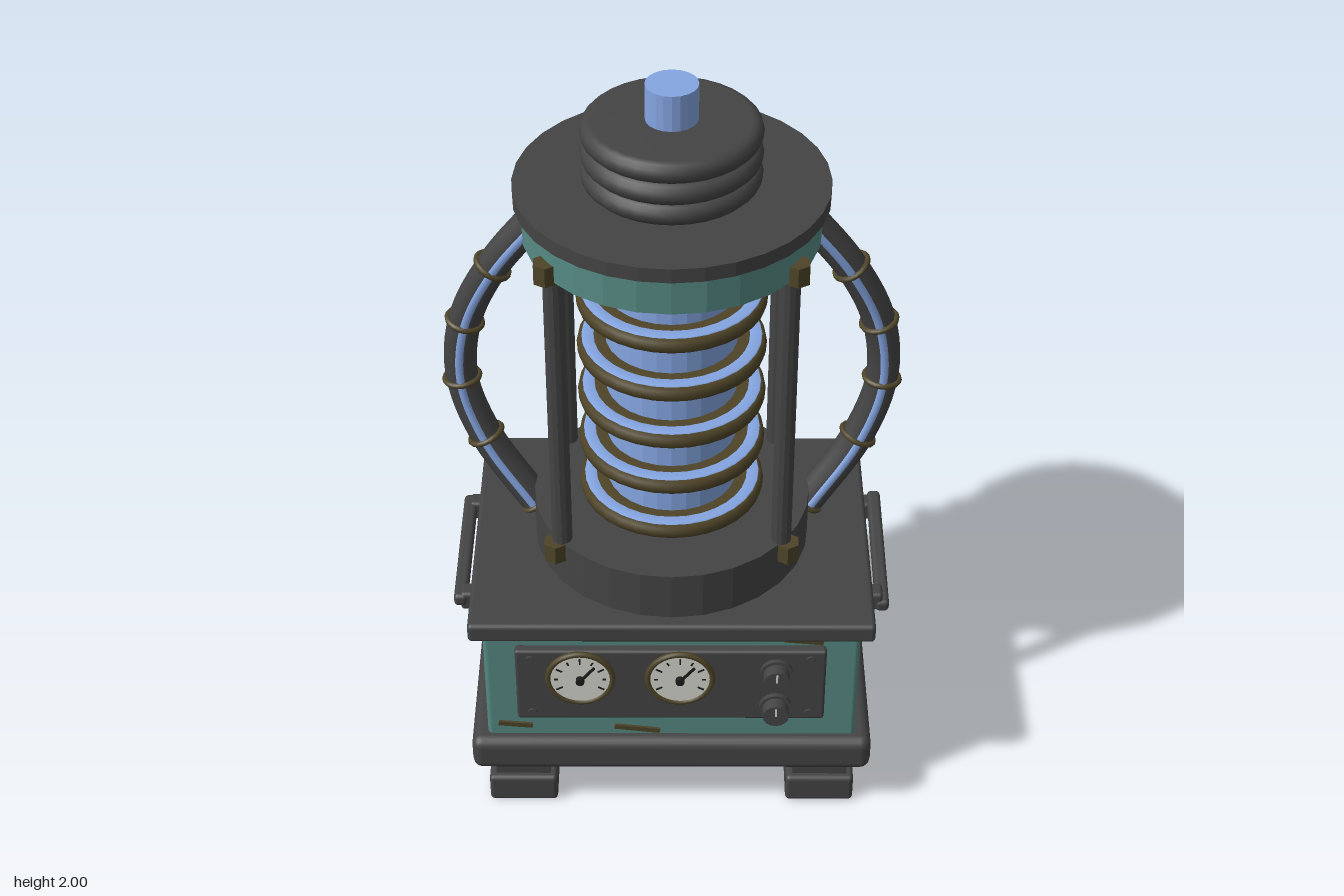
import * as THREE from 'three';
import { RoundedBoxGeometry } from 'three/addons/geometries/RoundedBoxGeometry.js';

const mat = (name, color) => {
  const m = new THREE.MeshStandardMaterial({ color });
  m.name = name;
  return m;
};

export function createModel() {
  const model = new THREE.Group();
  model.name = 'energyTower';
  const dark = mat('dark iron', 0x444444);
  const teal = mat('teal paint', 0x568a84);
  const blue = mat('blue glow', 0x85a6e2);
  const brass = mat('aged brass', 0x4e4428);
  const ivory = mat('dial ivory', 0xd6d6ce);
  const ink = mat('dial ink', 0x1c1c1c);
  const CZ = -0.018; // tower axis

  const add = (name, geo, material, x = 0, y = 0, z = 0, parent = model) => {
    const m = new THREE.Mesh(geo, material);
    m.name = name;
    m.position.set(x, y, z);
    parent.add(m);
    return m;
  };
  const box = (name, material, w, h, d, x, y, z, r = 0) =>
    add(name, r ? new RoundedBoxGeometry(w, h, d, 2, r) : new THREE.BoxGeometry(w, h, d), material, x, y, z);
  const faceted = (geo) => {
    const g = geo.toNonIndexed();
    g.computeVertexNormals();
    return g;
  };
  // upright cylinder between two heights
  const drum = (name, material, r, y0, y1, x = 0, z = CZ, sides = 28) =>
    add(name, faceted(new THREE.CylinderGeometry(r, r, y1 - y0, sides)), material, x, (y0 + y1) / 2, z);
  // disc whose axis points to the front
  const disc = (name, material, r, z0, z1, x, y, sides = 24) => {
    const g = new THREE.CylinderGeometry(r, r, z1 - z0, sides).rotateX(Math.PI / 2);
    return add(name, g, material, x, y, (z0 + z1) / 2);
  };
  const lathe = (pts, sides) => new THREE.LatheGeometry(pts.map(([x, y]) => new THREE.Vector2(x, y)), sides);

  // Feet, base and cabinet
  for (const x of [-0.398, 0.398]) for (const z of [0.272, -0.3]) {
    box('footPad', dark, 0.182, 0.085, 0.168, x, 0.0425, z, 0.012);
    box('footStem', dark, 0.145, 0.08, 0.13, x, 0.12, z);
  }
  box('basePlate', dark, 1.055, 0.105, 0.82, 0, 0.2, -0.02, 0.028);
  box('cabinet', teal, 0.97, 0.37, 0.735, 0, 0.425, -0.013, 0.014);
  box('cabinetLid', dark, 1.04, 0.055, 0.785, 0, 0.627, -0.013, 0.012);

  // Front control panel
  box('controlPanel', dark, 0.8, 0.238, 0.03, -0.002, 0.452, 0.367, 0.008);
  for (const x of [-0.362, 0.358]) for (const y of [0.36, 0.546]) disc('panelScrew', dark, 0.012, 0.375, 0.388, x, y, 8);
  for (const x of [-0.235, 0.022]) {
    const y = 0.485;
    disc('gaugeBody', brass, 0.085, 0.375, 0.388, x, y, 32);
    disc('gaugeDial', ivory, 0.08, 0.386, 0.392, x, y, 32);
    add('gaugeBezel', new THREE.TorusGeometry(0.083, 0.008, 8, 32), brass, x, y, 0.388);
    for (let i = 0; i < 9; i++) {
      const a = (-30 + i * 30) * Math.PI / 180;
      const t = box('gaugeTick', ink, i % 2 ? 0.01 : 0.018, 0.004, 0.003, x + Math.cos(a) * 0.062, y + Math.sin(a) * 0.062, 0.393);
      t.rotation.z = a;
    }
    const needle = box('gaugeNeedle', ink, 0.065, 0.007, 0.004, x + 0.017, y + 0.021, 0.4);
    needle.rotation.z = 0.9;
    disc('gaugePivot', ink, 0.011, 0.39, 0.406, x, y, 12);
  }
  for (const y of [0.505, 0.385]) {
    disc('knobFlange', dark, 0.042, 0.375, 0.394, 0.27, y, 20);
    disc('knob', dark, 0.034, 0.39, 0.426, 0.27, y, 16);
    box('knobMark', ivory, 0.005, 0.025, 0.004, 0.27, y + 0.014, 0.427);
  }
  // Worn patches on the cabinet edges
  for (const [x, y, w, a] of [[-0.41, 0.29, 0.09, -0.1], [-0.09, 0.275, 0.12, -0.13], [0.34, 0.588, 0.1, -0.1]])
    box('wornPatch', brass, w, 0.014, 0.008, x, y, 0.357).rotation.z = a;

  // Side vents and handles
  for (const s of [-1, 1]) {
    for (let i = 0; i < 4; i++) box('ventSlat', dark, 0.022, 0.02, 0.355, s * 0.485, 0.342 + i * 0.05, -0.078, 0.005);
    for (const z of [0.165, -0.205]) box('handleMount', dark, 0.075, 0.055, 0.05, s * 0.515, 0.568, z, 0.01);
    const bar = box('handleBar', dark, 0.036, 0.036, 0.425, s * 0.552, 0.574, -0.018, 0.012);
    bar.rotation.x = s > 0 ? 0.09 : 0;
  }

  // Tower: collar, glowing core and coil rings
  drum('towerCollar', dark, 0.36, 0.65, 0.79);
  drum('glowCore', blue, 0.167, 0.78, 1.61);
  const ringGeo = lathe([[0.165, -0.02], [0.226, -0.022], [0.236, -0.014], [0.239, 0], [0.236, 0.014], [0.226, 0.022], [0.165, 0.02]], 32);
  const glowGeo = lathe([[0.228, 0.019], [0.225, 0.025], [0.198, 0.025], [0.195, 0.019]], 32);
  for (let i = 0; i < 6; i++) {
    add('coilRing', ringGeo, brass, 0, 0.828 + i * 0.1455, CZ);
    add('coilGlow', glowGeo, blue, 0, 0.828 + i * 0.1455, CZ);
  }

  // Corner posts with hexagonal bolts
  for (const x of [-1, 1]) for (const z of [1, -1]) {
    drum('post', dark, 0.026, 0.74, 1.64, x * 0.28, CZ + z * 0.207, 12);
    for (const y of [0.735, 1.593]) drum('postBolt', brass, 0.032, y, y + 0.053, x * 0.297, CZ + z * 0.217, 6);
  }

  // Back spine with crossbars
  box('backSpine', teal, 0.16, 0.83, 0.09, 0, 1.195, -0.321, 0.006);
  for (const y of [0.84, 1.177, 1.505])
    add('spineBar', new THREE.CylinderGeometry(0.02, 0.02, 0.22, 10).rotateZ(Math.PI / 2), brass, 0, y, -0.38);

  // Head: teal band, flange, ribbed insulator and tip
  drum('headBand', teal, 0.365, 1.6, 1.705);
  drum('headFlange', dark, 0.384, 1.7, 1.738, 0, CZ, 32);
  const rib = [[0.19, 1.73]];
  for (const y of [1.765, 1.82, 1.878])
    for (let i = 0; i <= 6; i++) {
      const a = -Math.PI / 2 + i * Math.PI / 6;
      rib.push([0.192 + 0.027 * Math.cos(a), y + 0.028 * Math.sin(a)]);
    }
  rib.push([0, 1.907]);
  add('insulator', lathe(rib, 32), dark, 0, 0, CZ);
  drum('glowTip', blue, 0.064, 1.9, 2.0, 0, CZ, 20);

  // Side hoses with clamps and a glowing strip along the front
  for (const s of [-1, 1]) {
    const pts = [[0.31, 1.605, -0.108], [0.45, 1.415, -0.128], [0.53, 1.235, -0.148], [0.547, 1.05, -0.155], [0.492, 0.87, -0.142], [0.365, 0.665, -0.118]];
    const path = (dz) => new THREE.CatmullRomCurve3(pts.map(([x, y, z]) => new THREE.Vector3(s * x, y, z + dz)));
    const hose = path(0);
    add('hose', new THREE.TubeGeometry(hose, 36, 0.043, 12), dark);
    add('hoseGlow', new THREE.TubeGeometry(path(0.034), 36, 0.013, 8), blue);
    for (let i = 0; i < 6; i++) {
      const t = i / 5;
      const clamp = add('hoseClamp', new THREE.TorusGeometry(0.045, 0.008, 8, 20), brass);
      clamp.position.copy(hose.getPoint(t));
      clamp.quaternion.setFromUnitVectors(new THREE.Vector3(0, 0, 1), hose.getTangent(t));
    }
    // hose ends
    for (const [x, y, z] of [pts[0], pts[5]])
      add('hoseEnd', new THREE.SphereGeometry(0.042, 12, 8), dark, s * x, y, z);
  }
  return model;
}
